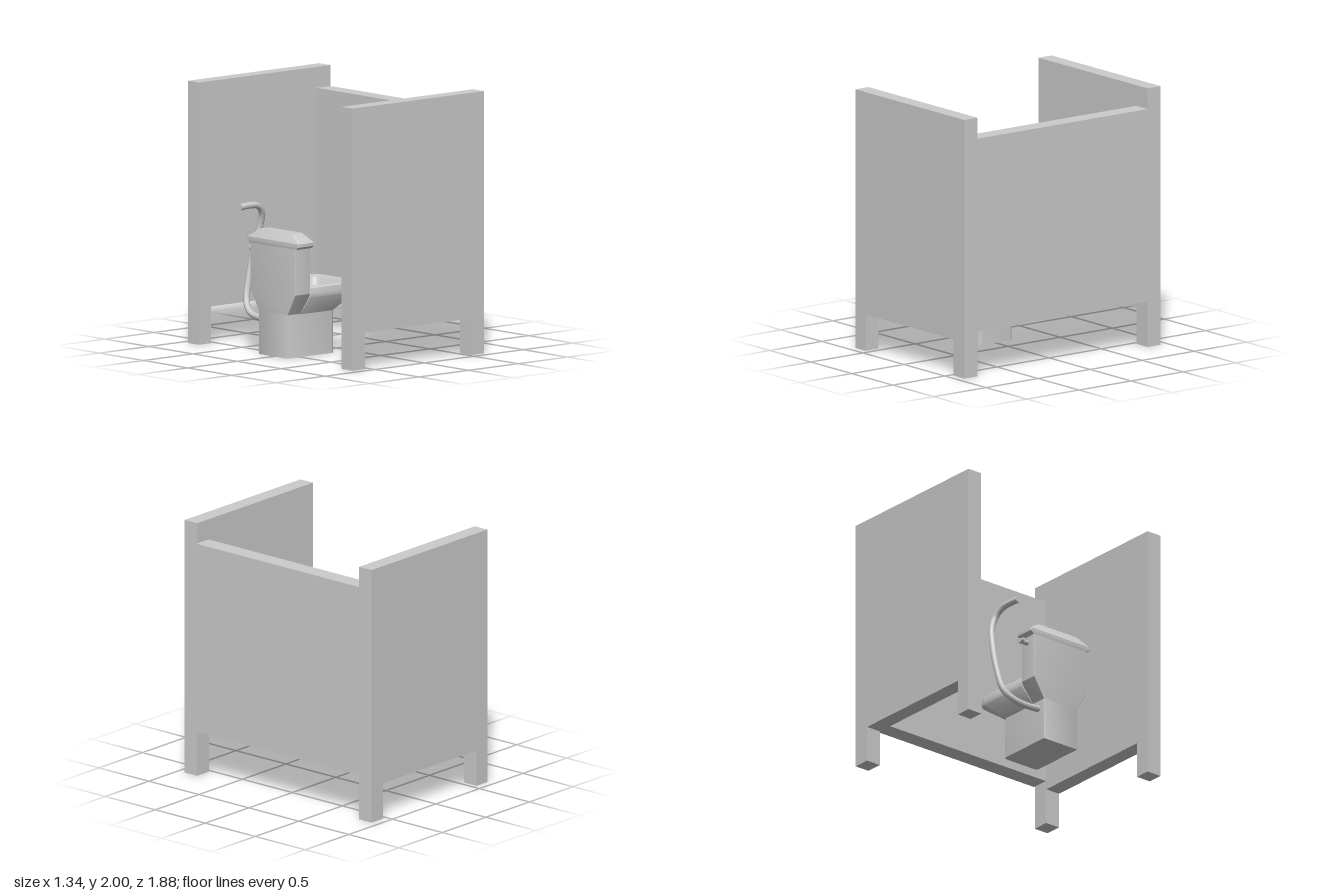
import * as THREE from 'three';
import { toCreasedNormals } from 'three/addons/utils/BufferGeometryUtils.js';

const material = new THREE.MeshStandardMaterial({ color: 0xcccccc });

function add(parent, name, geometry, x = 0, y = 0, z = 0) {
  const mesh = new THREE.Mesh(geometry, material);
  mesh.name = name;
  mesh.position.set(x, y, z);
  parent.add(mesh);
  return mesh;
}

// Horizontal rectangle at height y with rounded front (+x) and back (-x) corners
function ring(y, x0, x1, z0, z1, front = 0.004, back = 0.004) {
  const corners = [[x1, z1, front, 0], [x0, z1, back, 1], [x0, z0, back, 2], [x1, z0, front, 3]];
  const points = [];
  for (const [cx, cz, r, k] of corners) {
    const ox = cx === x1 ? cx - r : cx + r;
    const oz = cz === z1 ? cz - r : cz + r;
    for (let i = 0; i <= 4; i++) {
      const a = (k + i / 4) * Math.PI / 2;
      points.push([ox + r * Math.cos(a), y, oz + r * Math.sin(a)]);
    }
  }
  return points;
}

// Skin through the rings, closed at both ends
function loft(rings, crease = 0.6) {
  const n = rings[0].length;
  const positions = rings.flat(2);
  const index = [];
  for (let j = 0; j < rings.length - 1; j++) {
    for (let i = 0; i < n; i++) {
      const k = (i + 1) % n;
      const a = j * n + i, b = j * n + k, c = a + n, d = b + n;
      index.push(a, c, d, a, d, b);
    }
  }
  const last = (rings.length - 1) * n;
  for (let i = 1; i < n - 1; i++) {
    index.push(0, i, i + 1, last, last + i + 1, last + i);
  }
  const geometry = new THREE.BufferGeometry();
  geometry.setAttribute('position', new THREE.Float32BufferAttribute(positions, 3));
  geometry.setIndex(index);
  return toCreasedNormals(geometry, crease);
}

// Partition wall with a gap between its two feet
function wallGeometry() {
  const shape = new THREE.Shape();
  const outline = [[-0.665, 0], [-0.54, 0], [-0.54, 0.28], [0.53, 0.28],
    [0.53, 0], [0.665, 0], [0.665, 2], [-0.665, 2]];
  shape.setFromPoints(outline.map(([x, y]) => new THREE.Vector2(x, y)));
  return new THREE.ExtrudeGeometry(shape, { depth: 0.125, bevelEnabled: false });
}

export function createModel() {
  const model = new THREE.Group();
  model.name = 'toiletStall';

  // Stall walls and door
  add(model, 'leftWall', wallGeometry(), -0.005, 0, 0.813);
  add(model, 'rightWall', wallGeometry(), 0.003, 0, -0.938);
  add(model, 'door', new THREE.BoxGeometry(0.14, 1.49, 1.626), 0.598, 1.095, 0);

  const toilet = new THREE.Group();
  toilet.name = 'toilet';
  model.add(toilet);

  // Foot of the toilet
  add(toilet, 'pedestal', loft([
    ring(0, -0.63, -0.155, -0.17, 0.155, 0.03),
    ring(0.335, -0.63, -0.155, -0.17, 0.155, 0.03),
  ]));

  // Flared bowl with rim and hollow basin
  add(toilet, 'bowl', loft([
    ring(0.325, -0.5, -0.155, -0.17, 0.155, 0.03),
    ring(0.46, -0.48, 0.035, -0.26, 0.24, 0.07),
    ring(0.49, -0.48, 0.04, -0.262, 0.242, 0.07),
    ring(0.53, -0.48, 0.035, -0.255, 0.235, 0.065),
    ring(0.54, -0.47, 0.02, -0.245, 0.225, 0.055),
    ring(0.535, -0.38, -0.05, -0.18, 0.16, 0.04),
    ring(0.36, -0.28, -0.15, -0.07, 0.05, 0.04),
  ]));

  // Water tank tapering down onto the pedestal
  add(toilet, 'tank', loft([
    ring(0.33, -0.63, -0.47, -0.17, 0.155),
    ring(0.49, -0.63, -0.48, -0.265, 0.245),
    ring(0.86, -0.63, -0.48, -0.265, 0.245),
  ], 0.3));

  // Bevelled tank lid
  add(toilet, 'tankLid', loft([
    ring(0.84, -0.63, -0.475, -0.275, 0.255),
    ring(0.86, -0.632, -0.468, -0.302, 0.282, 0.012, 0.012),
    ring(0.885, -0.632, -0.468, -0.302, 0.282, 0.012, 0.012),
    ring(0.95, -0.6, -0.5, -0.2, 0.18, 0.01, 0.01),
  ], 0.3));

  // Flush handle on the side of the tank
  const stub = add(toilet, 'flushHandle', new THREE.CylinderGeometry(0.02, 0.02, 0.09, 10), -0.55, 0.79, -0.3);
  stub.rotation.x = Math.PI / 2;
  const lever = add(toilet, 'flushLever', new THREE.CylinderGeometry(0.015, 0.015, 0.06, 10), -0.56, 0.79, -0.33);
  lever.rotation.z = Math.PI / 2;

  // Bent water pipe rising beside the tank
  const path = new THREE.CatmullRomCurve3([
    [-0.565, 0.265, -0.15], [-0.555, 0.265, -0.28], [-0.535, 0.29, -0.38],
    [-0.5, 0.36, -0.455], [-0.45, 0.54, -0.482], [-0.4, 0.75, -0.48],
    [-0.36, 0.93, -0.455], [-0.37, 1.03, -0.425], [-0.43, 1.085, -0.41],
    [-0.52, 1.095, -0.405], [-0.612, 1.09, -0.405],
  ].map((p) => new THREE.Vector3(...p)));
  add(toilet, 'pipe', new THREE.TubeGeometry(path, 40, 0.025, 10));
  const end = add(toilet, 'pipeEnd', new THREE.CircleGeometry(0.025, 10), -0.612, 1.09, -0.405);
  end.rotation.y = -Math.PI / 2;

  return model;
}
